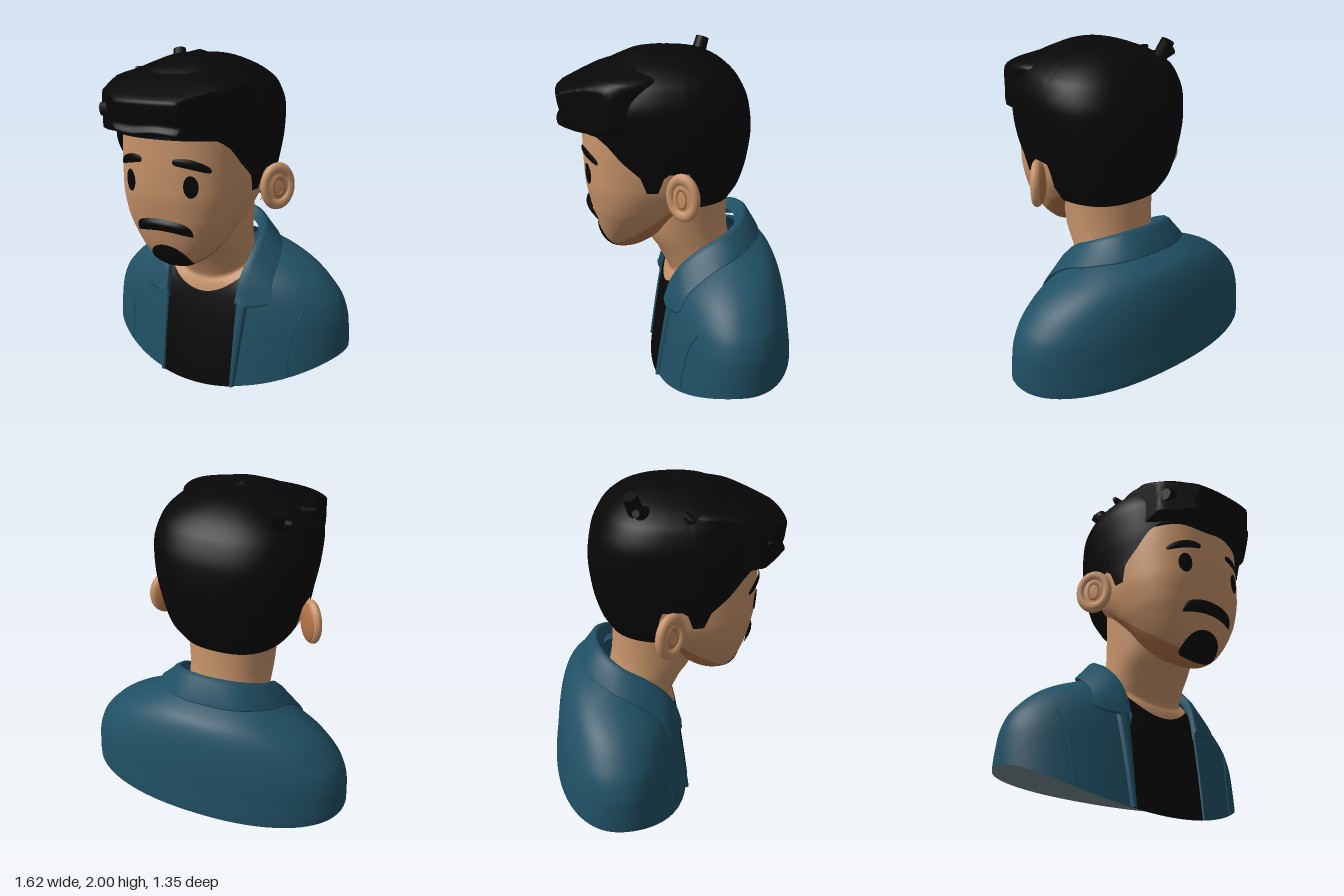
import * as THREE from 'three';

const flat = (name, color) => {
  const m = new THREE.MeshStandardMaterial({ color, side: THREE.DoubleSide });
  m.name = name;
  return m;
};
const power = (v, p) => Math.sign(v) * Math.abs(v) ** p;
const mix = THREE.MathUtils.lerp;

// Monotone interpolation of rows [key, value, value...]
function profile(rows) {
  const slope = (i, k) => (rows[i + 1][k] - rows[i][k]) / (rows[i + 1][0] - rows[i][0]);
  const tangent = (i, k) => {
    if (i === 0) return slope(0, k);
    if (i === rows.length - 1) return slope(i - 1, k);
    const a = slope(i - 1, k), b = slope(i, k);
    return a * b <= 0 ? 0 : 2 * a * b / (a + b);
  };
  return (key) => {
    const q = Math.min(Math.max(key, rows[0][0]), rows[rows.length - 1][0]);
    let i = 0;
    while (i < rows.length - 2 && q > rows[i + 1][0]) i++;
    const h = rows[i + 1][0] - rows[i][0], t = (q - rows[i][0]) / h, t2 = t * t, t3 = t2 * t;
    return rows[i].slice(1).map((v, n) => (2 * t3 - 3 * t2 + 1) * v + (t3 - 2 * t2 + t) * h * tangent(i, n + 1)
      + (3 * t2 - 2 * t3) * rows[i + 1][n + 1] + (t3 - t2) * h * tangent(i + 1, n + 1));
  };
}

// Point on a cross-section [halfWidth, frontZ, backZ] and the front depth at x
function ringPoint(P, y, angle, [front, back]) {
  const [a, f, b] = P(y), e = 2 / (Math.sin(angle) < 0 ? back : front);
  return [a * power(Math.cos(angle), e), y, (f + b) / 2 + (f - b) / 2 * power(Math.sin(angle), e)];
}
function frontZ(P, x, y, n) {
  const [a, f, b] = P(y);
  return (f + b) / 2 + (f - b) / 2 * Math.max(0, 1 - Math.abs(x / a) ** n) ** (1 / n);
}

// Surface from a rule; columns may wrap, faces may be sorted into two materials
function surface(nu, nv, fn, wrap = false, pick = null) {
  const cols = wrap ? nu : nu + 1, pos = [], lists = [[], []];
  for (let j = 0; j <= nv; j++) for (let i = 0; i < cols; i++) pos.push(...fn(i / nu, j / nv));
  const add = (...t) => {
    const c = [0, 1, 2].map((k) => t.reduce((s, v) => s + pos[v * 3 + k], 0) / 3);
    lists[pick && pick(...c) ? 1 : 0].push(...t);
  };
  for (let j = 0; j < nv; j++) for (let i = 0; i < nu; i++) {
    const a = j * cols + i, b = j * cols + (i + 1) % cols;
    add(a, b, a + cols);
    add(b, b + cols, a + cols);
  }
  const g = new THREE.BufferGeometry();
  g.setAttribute('position', new THREE.Float32BufferAttribute(pos, 3));
  g.setIndex([...lists[0], ...lists[1]]);
  if (pick) {
    g.addGroup(0, lists[0].length, 0);
    g.addGroup(lists[0].length, lists[1].length, 1);
  }
  g.computeVertexNormals();
  return g;
}
const ease = (v) => (1 - Math.cos(Math.PI * v)) / 2;
const loft = (P, y0, y1, n, { pick, cols = 96, rows = 48, shape = (p) => p } = {}) => surface(cols, rows, (u, v) => {
  const angle = -u * Math.PI * 2;
  return shape(ringPoint(P, mix(y0(angle), y1, ease(v)), angle, n));
}, true, pick);

// Thin plate between a lower and an upper edge, laid on a depth rule
const patch = (x0, x1, low, high, depth, off, bulge = 0) => surface(32, 16, (u, v) => {
  const x = mix(x0, x1, ease(u)), y = mix(low(x), high(x), v);
  return [x, y, depth(x, y) + off + bulge * Math.sin(Math.PI * v) * Math.sin(Math.PI * u)];
});

export function createModel() {
  const model = new THREE.Group();
  const skin = flat('skin', 0xc8946a), jaw = flat('warm skin shade', 0xb47448);
  const cloth = flat('jacket teal', 0x205064), black = flat('black', 0x070707), base = flat('base grey', 0x76898e);
  const add = (name, geometry, material, parent = model) => {
    const m = new THREE.Mesh(geometry, material);
    m.name = name;
    parent.add(m);
    return m;
  };

  // Jacket body with a curved lower rim
  const torso = profile([[0, .81, .155, -.68], [.23, .81, .125, -.68], [.4, .8, .1, -.66], [.52, .765, .08, -.645],
    [.63, .68, .055, -.625], [.7, .6, .015, -.605], [.76, .5, -.04, -.58], [.81, .39, -.09, -.545],
    [.85, .3, -.12, -.48], [.89, .2, -.14, -.38]]);
  const torsoN = [2, 2.2];
  const torsoZ = (x, y) => frontZ(torso, x, y, 2);
  const rim = (angle) => Math.sin(angle) > 0 ? .35 * (.81 * Math.cos(angle)) ** 2 : .2296;
  add('jacketBody', loft(torso, rim, .89, torsoN), cloth);
  add('baseUnderside', surface(96, 10, (u, v) => {
    const angle = -u * Math.PI * 2, [x, y, z] = ringPoint(torso, rim(angle), angle, torsoN);
    return [x * v, mix(.2, y, v ** 4), mix(-.26, z, v)];
  }, true), base);

  // Neck, throat and shirt
  const neck = profile([[.5, .26, 0, -.4], [.65, .25, .04, -.38], [.8, .245, .11, -.33], [.95, .25, .2, -.3], [1.25, .27, .22, -.285]]);
  add('neck', loft(neck, () => .5, 1.25, [2.1, 2.1], { cols: 64, rows: 20 }), skin);
  const chestZ = (x, y) => Math.max(torsoZ(x, y), frontZ(neck, x, y, 2.1));
  const neckline = (x) => .575 + 2 * x * x;
  add('throat', patch(-.245, .245, (x) => neckline(x) - .03, () => .8, chestZ, .004), skin);
  add('shirt', patch(-.245, .245, (x) => .35 * x * x, neckline, chestZ, .008), black);

  // Folded collar: matching stations along the top and lower edges, mirrored
  const half = [
    [[0, 1.04, -.4], [0, .91, -.49]], [[.16, 1.02, -.36], [.2, .9, -.455]], [[.26, .96, -.25], [.345, .855, -.32]],
    [[.275, .88, -.11], [.405, .8, -.18]], [[.265, .78, 0], [.425, .67, -.02]],
    [[.25, .68, .06], [.435, .57, .03]], [[.24, .55, .1], [.3, .54, .095]]];
  const mirror = ([x, y, z]) => [-x, y, z];
  const stations = [...half.slice(1).reverse().map((s) => s.map(mirror)), ...half];
  const sections = [
    ([[x, y, z]]) => [x * .94, y - .07, z * .85 - .01],
    ([[x, y, z]]) => [x * .96, y - .015, z * .96],
    ([[x, y, z]]) => [x, y, z],
    ([t, b]) => [mix(t[0], b[0], .25), mix(t[1], b[1], .12), mix(t[2], b[2], .25)],
    ([, [x, y, z]]) => [x, y, z],
    ([, [x, y, z]]) => [x * .98, y - .015, z * .98 - .002],
    ([, [x, y, z]]) => [x * .92, y - .01, z * .92 - .012]];
  const edges = sections.map((f) => new THREE.CatmullRomCurve3(stations.map((s) => new THREE.Vector3(...f(s)))));
  add('collar', surface(72, 6, (u, v) => edges[Math.round(v * 6)].getPoint(u).toArray()), cloth);

  // Front edges and sleeve seams
  for (const s of [1, -1]) {
    add('jacketFrontEdge', surface(8, 20, (u, v) => {
      const x = .228 + u * mix(.03, .08, v), y = mix(.35 * x * x, .6, v);
      return [s * x, y, torsoZ(x, y) + (u === 0 || u === 1 ? -.005 : .012 + .008 * Math.sin(Math.PI * u))];
    }), cloth);
    const seam = [[.61, .52], [.575, .42], [.557, .3], [.545, .12]].map(([x, y]) => new THREE.Vector3(s * x, y, torsoZ(x, y) + .001));
    add('sleeveSeam', new THREE.TubeGeometry(new THREE.CatmullRomCurve3(seam), 20, .006, 6), cloth);
  }

  // Head with a darker jaw underside
  const head = profile([[.82, 0, .33, .33], [.826, .055, .36, .28], [.84, .1, .385, .25], [.88, .165, .42, .17], [.95, .23, .455, .08],
    [1.05, .295, .485, 0], [1.13, .335, .505, -.08], [1.28, .375, .53, -.25], [1.45, .385, .535, -.34],
    [1.6, .375, .535, -.35], [1.75, .3, .4, -.28], [1.85, .05, .2, -.1]]);
  const faceZ = (x, y) => frontZ(head, x, y, 2.5);
  const underJaw = (x, y, z) => z > -.04 && y < .885 + (.36 - z) * .78;
  add('head', loft(head, () => .82, 1.85, [2.5, 2.5], { pick: underJaw, cols: 160, rows: 120 }), [skin, jaw]);

  // Facial features
  const arc = (x, c, w) => Math.sqrt(Math.max(0, 1 - ((x - c) / w) ** 2));
  for (const s of [1, -1]) {
    const c = s * .187;
    add('eye', patch(c - .037, c + .037, (x) => 1.328 - .06 * arc(x, c, .037), (x) => 1.328 + .06 * arc(x, c, .037), faceZ, .006), black);
    const browMid = (x) => 1.455 - 1.7 * Math.max(0, Math.abs(x) - .12) ** 2;
    add('eyebrow', patch(c - .092, c + .092, (x) => browMid(x) - .025 * arc(x, c, .092) ** .6,
      (x) => browMid(x) + .025 * arc(x, c, .092) ** .6, faceZ, .007, .008), black);
  }
  add('moustache', patch(-.175, .175, (x) => 1.062 - x * x + .012 * (1 - arc(x, 0, .175)),
    (x) => 1.045 + .09 * arc(x, 0, .175) ** .6, faceZ, .006, .025), black);
  add('goatee', patch(-.125, .125, (x) => .868 - .044 * arc(x, 0, .125),
    (x) => .872 + .104 * arc(x, 0, .125), faceZ, .006, .012), black);

  // Ears, turned outward, warmer behind
  for (const s of [1, -1]) {
    const ear = new THREE.Group();
    ear.name = s > 0 ? 'leftEar' : 'rightEar';
    ear.position.set(s * .443, 1.265, 0);
    ear.rotation.y = s * .87;
    model.add(ear);
    add('earBody', new THREE.SphereGeometry(1, 32, 20).scale(.1, .13, .03), skin, ear);
    add('earBack', new THREE.SphereGeometry(1, 32, 20).scale(.09, .12, .03).translate(0, 0, -.008), jaw, ear);
    add('earRim', new THREE.TorusGeometry(.079, .025, 12, 40).scale(1, 1.3, 1).translate(0, 0, .012), skin, ear);
    add('earHollow', new THREE.TorusGeometry(.03, .008, 8, 28).scale(1, 1.7, 1).translate(0, 0, .024), jaw, ear);
  }

  // Hair cap, its lower edge following the hairline from back to front
  const hair = profile([[1.15, .33, .5, -.305], [1.25, .387, .535, -.36], [1.4, .415, .548, -.4], [1.55, .44, .56, -.415],
    [1.7, .45, .55, -.395], [1.83, .41, .48, -.335], [1.9, .33, .4, -.265], [1.95, .22, .3, -.18], [1.98, .12, .22, -.08], [1.99, .01, .1, .08]]);
  const line = [[-.5, 1.15], [-.1, 1.15], [-.05, 1.38], [.1, 1.38], [.13, 1.27], [.2, 1.27], [.24, 1.36], [.33, 1.44], [.4, 1.53], [.45, 1.57], [.7, 1.57]];
  const hairline = (angle) => {
    const z = .07 + .48 * power(Math.sin(angle), .8);
    const i = line.findIndex((p) => p[0] >= z), [a, b] = [line[i - 1], line[i]];
    return mix(a[1], b[1], (z - a[0]) / (b[0] - a[0]));
  };
  add('hairCap', loft(hair, hairline, 1.99, [2.3, 2.5], { cols: 160 }), black);

  // Overhanging quiff, swept to one side and wavy along its lower edge
  const quiff = profile([[1.57, .3, .5, .1], [1.58, .35, .57, 0], [1.6, .39, .63, 0], [1.615, .41, .67, 0], [1.65, .415, .65, 0],
    [1.7, .42, .66, 0], [1.77, .415, .668, 0], [1.81, .412, .6, 0], [1.86, .405, .49, 0], [1.9, .31, .39, -.01], [1.95, .19, .28, -.02], [2, .01, .1, .08]]);
  const sweep = ([x, y, z]) => [
    Math.max(Math.min(x, .415 - .85 * Math.max(0, z - .38)), -.37 + 1.25 * Math.max(0, z - .5)),
    y + .008 * Math.sin(x * 22) * Math.max(0, 1 - (y - 1.57) / .15), z];
  add('quiff', loft(quiff, () => 1.57, 2, [2.5, 2.1], { shape: sweep }), black);

  // Loose locks and tufts
  const lock = (name, a, b, r0, r1) => {
    const p = new THREE.Vector3(...a), q = new THREE.Vector3(...b), d = q.clone().sub(p);
    const m = add(name, new THREE.CylinderGeometry(r1, r0, d.length(), 12), black);
    m.position.copy(p).add(q).multiplyScalar(.5);
    m.quaternion.setFromUnitVectors(new THREE.Vector3(0, 1, 0), d.normalize());
  };
  lock('crownTuft', [-.26, 1.85, -.14], [-.3, 1.985, -.185], .045, .038);
  lock('sideSpike', [-.26, 1.86, .08], [-.41, 1.885, .12], .055, .012);
  lock('sideSpike', [-.25, 1.87, -.1], [-.37, 1.92, -.16], .05, .02);
  lock('rightCornerLock', [-.18, 1.72, .48], [-.35, 1.7, .53], .09, .035);
  return model;
}
